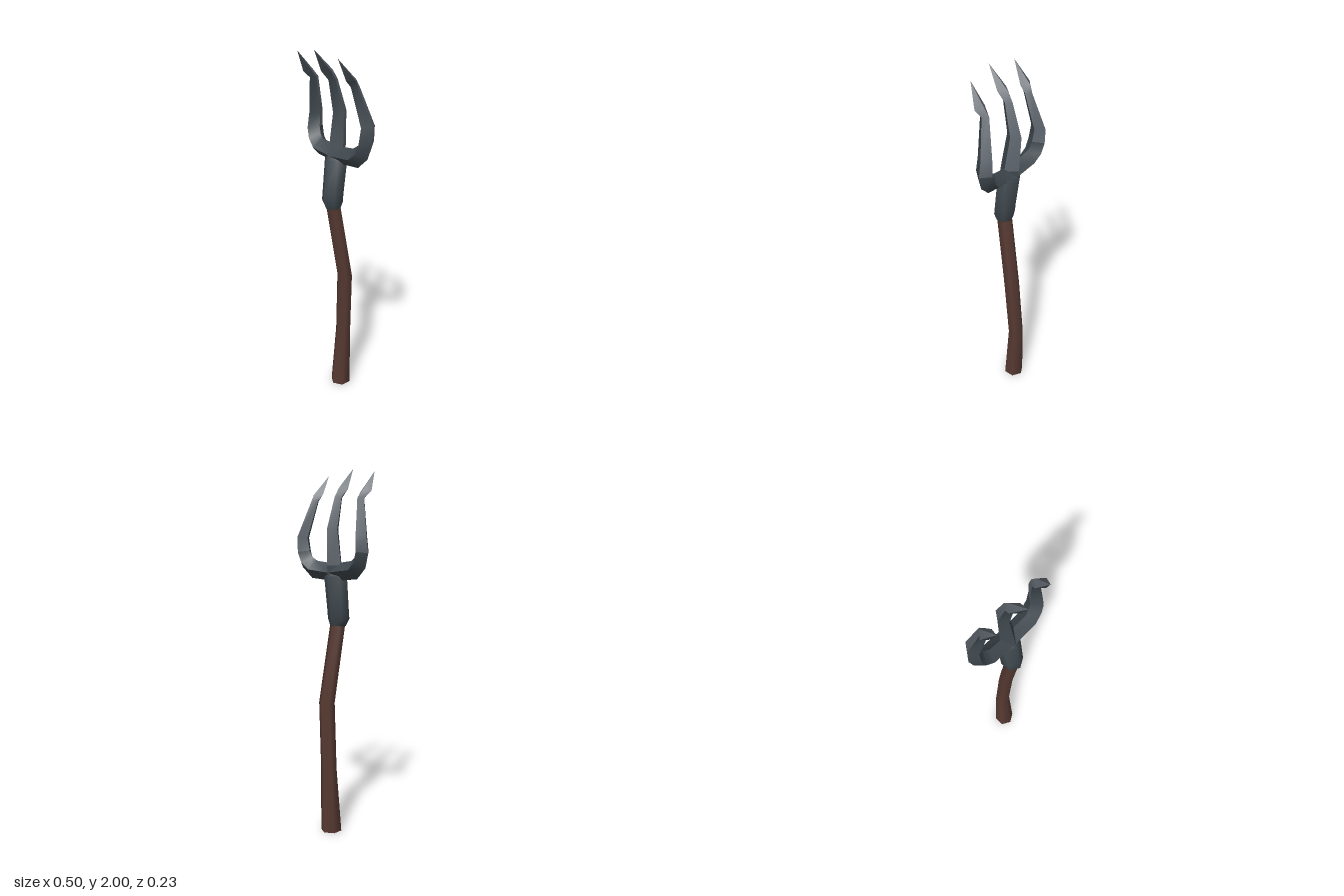
import * as THREE from 'three';
import { toCreasedNormals } from 'three/addons/utils/BufferGeometryUtils.js';

const material = (name, color) => {
  const m = new THREE.MeshStandardMaterial({ color });
  m.name = name;
  return m;
};
const wood = material('darkWood', 0x573a32);
const iron = material('darkIron', 0x3f484e);
const steel = material('paleSteel', 0x5f666e);

// Skin a list of equal-length rings and close both ends.
// Back faces (sides 1 and 2) from ring paleFrom upward use the second material.
function loft(rings, paleFrom = Infinity) {
  const pos = [];
  const geo = new THREE.BufferGeometry();
  const face = (slot, ...pts) => {
    geo.addGroup(pos.length / 3, pts.length, slot);
    pts.forEach((p) => pos.push(...p));
  };
  const n = rings[0].length;
  for (let k = 0; k < rings.length - 1; k++) {
    const lo = rings[k], hi = rings[k + 1];
    for (let i = 0; i < n; i++) {
      const j = (i + 1) % n;
      const slot = k >= paleFrom && (i === 1 || i === 2) ? 1 : 0;
      face(slot, lo[i], lo[j], hi[j], lo[i], hi[j], hi[i]);
    }
  }
  const first = rings[0], last = rings[rings.length - 1];
  for (let i = 1; i < n - 1; i++) {
    face(0, first[0], first[i + 1], first[i]);
    face(0, last[0], last[i], last[i + 1]);
  }
  geo.setAttribute('position', new THREE.Float32BufferAttribute(pos, 3));
  // Six-sided shafts shade smoothly, diamond blades and ends stay sharp
  return toCreasedNormals(geo, 1.15);
}

// Horizontal six-sided ring with corners on the z axis
const hexRing = ([x, y, z, r]) => Array.from({ length: 6 }, (_, i) => {
  const a = (i * Math.PI) / 3;
  return [x + Math.sin(a) * r, y, z + Math.cos(a) * r];
});

// Diamond ring spanning two edge points a, b in the xy plane, with front and back ridges
const diamondRing = ([ax, ay, bx, by, z, rz]) => {
  const mx = (ax + bx) / 2, my = (ay + by) / 2;
  return [[mx, my, z + rz], [bx, by, z], [mx, my, z - rz], [ax, ay, z]];
};

export function createModel() {
  const group = new THREE.Group();
  group.name = 'trident';
  const add = (name, geometry, materials) => {
    const mesh = new THREE.Mesh(geometry, materials);
    mesh.name = name;
    group.add(mesh);
  };

  // Crooked handle: x, y, z, radius
  add('handle', loft([
    [-0.01, 0, -0.057, 0.058],
    [-0.006, 0.36, -0.072, 0.044],
    [0.019, 0.73, -0.06, 0.044],
    [0, 1.17, 0.01, 0.042],
  ].map(hexRing)), [wood]);

  // Socket with a flared collar
  add('socket', loft([
    [0, 1.15, 0.01, 0.043],
    [-0.004, 1.19, 0.011, 0.06],
    [-0.004, 1.23, 0.007, 0.06],
    [-0.006, 1.42, -0.016, 0.063],
    [-0.006, 1.45, -0.02, 0.045],
  ].map(hexRing)), [iron]);

  // Centre tine: left edge, right edge, z, half depth
  add('centreTine', loft([
    [-0.056, 1.41, 0.046, 1.41, -0.016, 0.062],
    [-0.053, 1.48, 0.043, 1.48, -0.024, 0.058],
    [-0.044, 1.67, 0.022, 1.67, -0.045, 0.045],
    [-0.036, 1.84, 0.01, 1.84, -0.002, 0.03],
    [-0.05, 1.89, 0.019, 1.89, 0.036, 0.037],
    [-0.015, 2, -0.015, 2, 0.117, 0],
  ].map(diamondRing), 1), [iron, steel]);

  // Side tines with their half of the crossbar: inner edge, outer edge, z, half depth
  const sideTine = [
    [0, 1.49, 0, 1.395, -0.022, 0.052],
    [0.125, 1.505, 0.165, 1.41, -0.022, 0.052],
    [0.155, 1.525, 0.228, 1.468, -0.03, 0.052],
    [0.17, 1.56, 0.251, 1.545, -0.036, 0.052],
    [0.178, 1.63, 0.245, 1.635, -0.044, 0.046],
    [0.142, 1.83, 0.188, 1.83, -0.002, 0.028],
    [0.136, 1.865, 0.209, 1.865, 0.026, 0.033],
    [0.163, 1.973, 0.163, 1.973, 0.095, 0],
  ];
  // The upper parts of both lean slightly toward -x
  const lean = (y) => -0.02 * THREE.MathUtils.smoothstep(y, 1.75, 1.97);
  add('leftTine', loft(sideTine.map(([ix, iy, ox, oy, z, rz]) =>
    diamondRing([ix + lean(iy), iy, ox + lean(oy), oy, z, rz])), 3), [iron, steel]);
  add('rightTine', loft(sideTine.map(([ix, iy, ox, oy, z, rz]) =>
    diamondRing([-ox + lean(oy), oy, -ix + lean(iy), iy, z, rz])), 3), [iron, steel]);

  return group;
}
